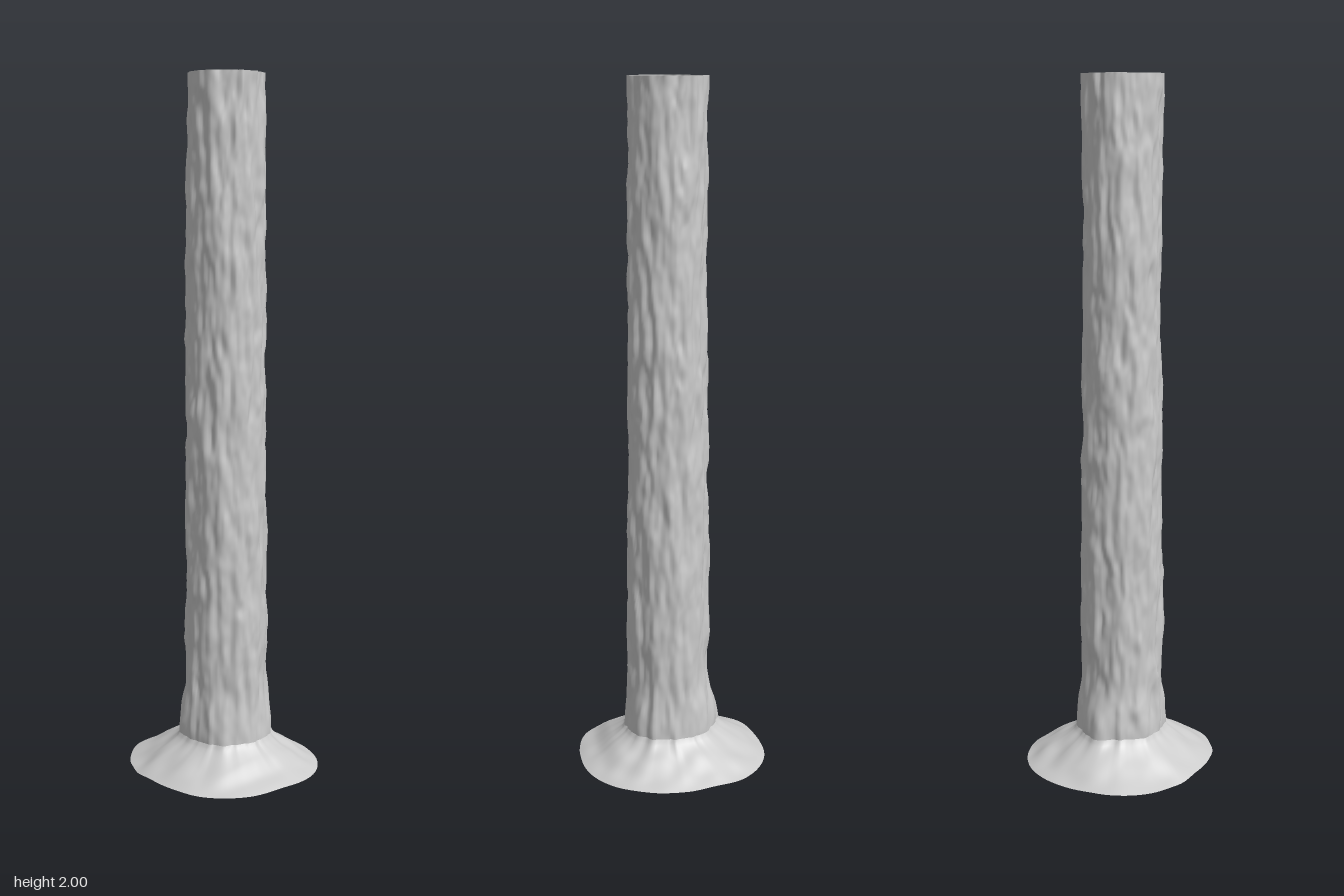
import * as THREE from 'three';

const material = new THREE.MeshStandardMaterial({ color: 0xcccccc, side: THREE.DoubleSide });
const { lerp, smoothstep, clamp } = THREE.MathUtils;

// Seeded lattice hash and smooth 3D value noise, -1 to 1
function hash(x, y, z) {
  let h = Math.imul(x, 374761393) ^ Math.imul(y, 668265263) ^ Math.imul(z, 1274126177);
  h = Math.imul(h ^ (h >>> 13), 1103515245);
  return ((h ^ (h >>> 16)) >>> 0) / 2147483648 - 1;
}
function noise(x, y, z) {
  const i = Math.floor(x), j = Math.floor(y), k = Math.floor(z);
  const s = t => t * t * (3 - 2 * t);
  const u = s(x - i), v = s(y - j), w = s(z - k);
  const row = (b, c) => lerp(hash(i, b, c), hash(i + 1, b, c), u);
  const plane = c => lerp(row(j, c), row(j + 1, c), v);
  return lerp(plane(k), plane(k + 1), w);
}

// Closed ring-by-ring surface; point(a, t) gives a position for angle a and t from 0 to 1
function ringSurface(name, sides, rows, point) {
  const positions = [], indices = [];
  for (let r = 0; r <= rows; r++)
    for (let s = 0; s < sides; s++) positions.push(...point((s / sides) * Math.PI * 2, r / rows));
  for (let r = 0; r < rows; r++)
    for (let s = 0; s < sides; s++) {
      const n = (s + 1) % sides;
      const a = r * sides + s, b = r * sides + n, c = a + sides, d = b + sides;
      indices.push(a, c, b, b, c, d);
    }
  const geometry = new THREE.BufferGeometry();
  geometry.setAttribute('position', new THREE.Float32BufferAttribute(positions, 3));
  geometry.setIndex(indices);
  geometry.computeVertexNormals();
  const mesh = new THREE.Mesh(geometry, material);
  mesh.name = name;
  return mesh;
}

// Bark relief: stretched plates with crisp edges, drooping lumps and fine grain
function bark(a, y) {
  const c = Math.cos(a), s = Math.sin(a);
  const warp = 0.35 * noise(c * 3 + 9, y * 9, s * 3);
  const plates = clamp(noise(c * 5.5 + warp, y * 7, s * 5.5 + warp) * 2.2, -1, 1);
  const lumps = noise(c * 8 + 20, y * 16 + warp * 2, s * 8);
  const grain = noise(c * 15, y * 28, s * 15 + 40);
  return 0.0045 * plates + 0.004 * lumps + 0.002 * grain;
}

const CENTRE_X = 0.01, FOOT = 0.1;

// Trunk radius, with a slight taper, a flared foot and a root lump on the -x side
function trunkRadius(a, y) {
  const lump = Math.pow(Math.max(0, Math.cos(a - Math.PI * 1.02)), 6);
  return lerp(0.119, 0.108, smoothstep(y, 0, 1.9))
    + 0.012 * (1 - smoothstep(y, FOOT, 0.26))
    + 0.018 * lump * (1 - smoothstep(y, 0.12, 0.3))
    + bark(a, y);
}

// Outline of the ground skirt: a rounded, slightly squared oval
function skirtRim(a) {
  const p = 2.3;
  const c = Math.abs(Math.cos(a)) / 0.279, s = Math.abs(Math.sin(a)) / 0.264;
  return Math.pow(c ** p + s ** p, -1 / p) + 0.003 * noise(Math.cos(a) * 4, 3, Math.sin(a) * 4);
}

export function createModel() {
  const group = new THREE.Group();
  group.name = 'treeTrunk';

  // Hollow trunk, open at both ends
  group.add(ringSurface('trunk', 112, 300, (a, t) => {
    const y = lerp(FOOT, 2, t);
    const r = trunkRadius(a, y);
    return [CENTRE_X + r * Math.cos(a), y, r * Math.sin(a)];
  }));

  // Flared skirt from the trunk foot down to the ground, open underneath
  group.add(ringSurface('groundSkirt', 112, 28, (a, t) => {
    const u = 1 - t;
    const r = lerp(trunkRadius(a, FOOT), skirtRim(a), u);
    const bumps = noise(Math.cos(a) * r * 18, 7, Math.sin(a) * r * 18);
    const y = lerp(FOOT, 0.004, Math.pow(u, 0.72))
      + 0.007 * bumps * Math.sin(Math.PI * u)
      + 0.004 * u * (1 + noise(Math.cos(a) * 3, 5, Math.sin(a) * 3)) - 0.004 * u;
    return [CENTRE_X * (1 - u) + r * Math.cos(a), Math.max(0, y), r * Math.sin(a)];
  }));

  return group;
}
